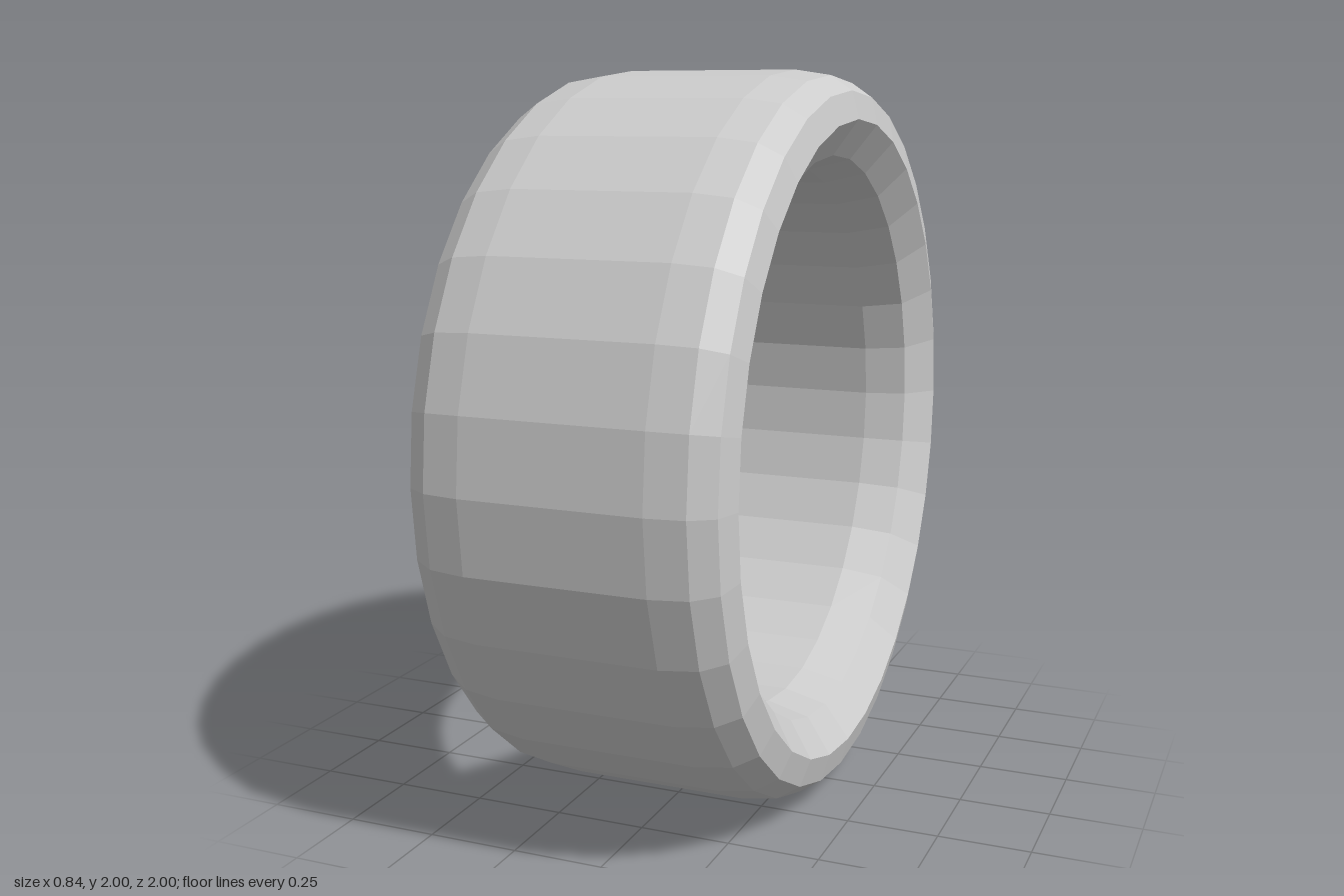
import * as THREE from 'three';

// Half of the ring's cross-section: [radius, half-width], tread to bore
const HALF = [
  [1.0, 0.24], [0.985, 0.34], [0.945, 0.4],
  [0.87, 0.42], [0.775, 0.35], [0.745, 0.23],
];

export function createModel() {
  const group = new THREE.Group();
  group.name = 'ring';

  // Mirror the half profile into a closed loop, outer side first
  const outer = HALF.slice(0, 4), inner = HALF.slice(4);
  const flip = ([r, w]) => [r, -w];
  const loop = [
    ...outer.map(flip).reverse(), ...outer,
    ...inner, ...inner.map(flip).reverse(),
  ];
  loop.push(loop[0]);

  const geometry = new THREE.LatheGeometry(loop.map(([r, w]) => new THREE.Vector2(r, w)), 32);
  geometry.rotateZ(-Math.PI / 2); // axis along x
  geometry.translate(0, 1, 0);

  const tire = new THREE.Mesh(
    geometry,
    new THREE.MeshStandardMaterial({ color: 0xcccccc, flatShading: true }),
  );
  tire.name = 'tire';
  group.add(tire);
  return group;
}
